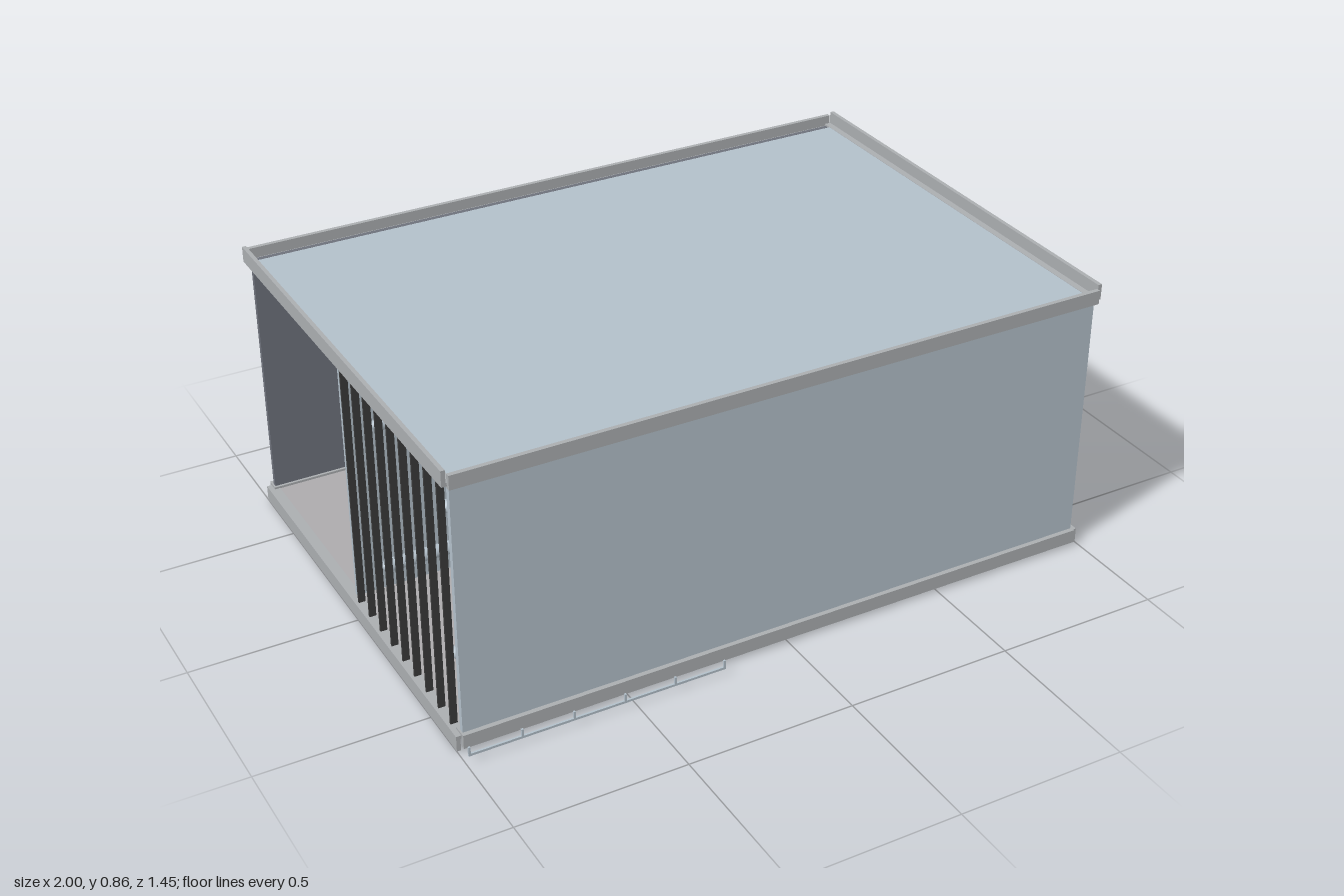
import * as THREE from 'three';

const mat = (name, color) => {
  const m = new THREE.MeshStandardMaterial({ color });
  m.name = name;
  return m;
};

export function createModel() {
  const panel = mat('pale blue panel', 0xb2bfc9);
  const steel = mat('dark steel', 0x6d717b);
  const frame = mat('frame grey', 0xaaadb0);
  const floorGrey = mat('floor grey', 0xacaaac);
  const black = mat('charcoal', 0x3a3a3a);

  const model = new THREE.Group();
  model.name = 'ventilationUnit';

  const add = (parent, name, geometry, material) => {
    const mesh = new THREE.Mesh(geometry, material);
    mesh.name = name;
    parent.add(mesh);
    return mesh;
  };
  // Box given by its limits on each axis
  const box = (parent, name, material, [x0, x1], [y0, y1], [z0, z1]) => {
    const mesh = add(parent, name, new THREE.BoxGeometry(x1 - x0, y1 - y0, z1 - z0), material);
    mesh.position.set((x0 + x1) / 2, (y0 + y1) / 2, (z0 + z1) / 2);
    return mesh;
  };
  // Cylinder along x or z, centred on its middle
  const rod = (parent, name, material, axis, r, length, x, y, z, sides = 32) => {
    const g = new THREE.CylinderGeometry(r, r, length, sides);
    if (axis === 'x') g.rotateZ(-Math.PI / 2);
    else g.rotateX(Math.PI / 2);
    const mesh = add(parent, name, g, material);
    mesh.position.set(x, y, z);
    return mesh;
  };

  // Casing panels; both ends stay open
  box(model, 'floor', floorGrey, [-0.98, 0.98], [0.037, 0.046], [-0.69, 0.64]);
  box(model, 'roof', panel, [-0.97, 0.97], [0.81, 0.819], [-0.685, 0.63]);
  box(model, 'frontPanel', panel, [-0.98, 0.98], [0.04, 0.815], [0.645, 0.661]);
  box(model, 'backPanel', steel, [-0.98, 0.98], [0.04, 0.815], [-0.708, -0.693]);
  box(model, 'divider', panel, [-0.98, 0.98], [0.046, 0.81], [-0.06, -0.05]);

  // Angle-iron frames: an upright leg outside and a ledge on the inner side
  for (const top of [false, true]) {
    const ring = new THREE.Group();
    ring.name = top ? 'topFrame' : 'bottomFrame';
    model.add(ring);
    const span = (a, b) => (top ? [0.857 - b, 0.857 - a] : [a, b]);
    for (const [outer, inner, wall] of [[0.675, 0.63, 0.662], [-0.725, -0.685, -0.712]]) {
      const sort = (a, b) => [Math.min(a, b), Math.max(a, b)];
      box(ring, 'longRail', frame, [-0.985, 0.985], span(0.011, 0.053), sort(outer, wall));
      box(ring, 'longLedge', frame, [-0.985, 0.985], span(0.043, 0.053), sort(wall, inner));
    }
    for (const s of [-1, 1]) {
      const xs = (a, b) => (s > 0 ? [a, b] : [-b, -a]);
      box(ring, 'endRail', frame, xs(0.988, 1), span(0, 0.047), [-0.713, 0.663]);
      box(ring, 'endLedge', frame, xs(0.968, 0.988), span(0.037, 0.047), [-0.713, 0.663]);
    }
  }

  // Upright louvre slats over one end
  for (let i = 0; i < 9; i++) {
    const z = 0.605 - i * 0.0776;
    box(model, 'louvreSlat', black, [-0.99, -0.97], [0.046, 0.811], [z - 0.0035, z + 0.0035]);
  }

  // Twin fans facing the other end
  for (const y of [0.61, 0.247]) {
    const fan = new THREE.Group();
    fan.name = 'fan';
    fan.position.set(0.955, y, 0.294);
    model.add(fan);
    rod(fan, 'fanDrum', steel, 'x', 0.152, 0.08, -0.04, 0, 0, 48);
    rod(fan, 'fanHub', black, 'x', 0.046, 0.006, 0.001, 0, 0);
    rod(fan, 'fanAxle', black, 'x', 0.03, 0.06, -0.11, 0, 0);
    box(fan, 'fanSlot', frame, [0, 0.004], [0.122, 0.13], [-0.026, 0.026]);
    for (const z of [-0.094, 0.094]) {
      box(fan, 'fanClip', frame, [0, 0.004], [0.089, 0.095], [z - 0.005, z + 0.005]);
    }
  }

  // Four tie rods with pointed ends
  for (const y of [0.655, 0.201]) {
    for (const z of [0.523, 0.067]) {
      rod(model, 'tieRod', panel, 'x', 0.019, 1.8, -0.03, y, z, 24);
      for (const s of [-1, 1]) {
        const tip = add(model, 'rodTip', new THREE.ConeGeometry(0.019, 0.02, 24), panel);
        tip.rotation.z = -s * Math.PI / 2;
        tip.position.set(-0.03 + s * 0.91, y, z);
      }
    }
  }

  // Equipment behind the divider
  box(model, 'equipmentCabinet', steel, [-0.77, 0.77], [0.066, 0.336], [-0.635, -0.26]);
  box(model, 'motorBody', black, [-0.08, 0.08], [0.46, 0.58], [-0.372, -0.19]);
  rod(model, 'motorNeck', frame, 'z', 0.037, 0.06, 0, 0.518, -0.16);
  for (const y of [0.657, 0.702]) {
    rod(model, 'pipeStub', frame, 'z', 0.0225, 0.076, 0.64, y, -0.146, 24);
  }

  // Slim rail with short pegs standing off the front
  const rail = new THREE.Group();
  rail.name = 'frontRail';
  model.add(rail);
  box(rail, 'railBar', panel, [-0.992, -0.228], [0.022, 0.029], [0.716, 0.722]);
  for (let i = 0; i < 6; i++) {
    const x = -0.989 + i * 0.1516;
    box(rail, 'railPeg', panel, [x - 0.003, x + 0.003], [0.029, 0.05], [0.716, 0.722]);
  }

  return model;
}
